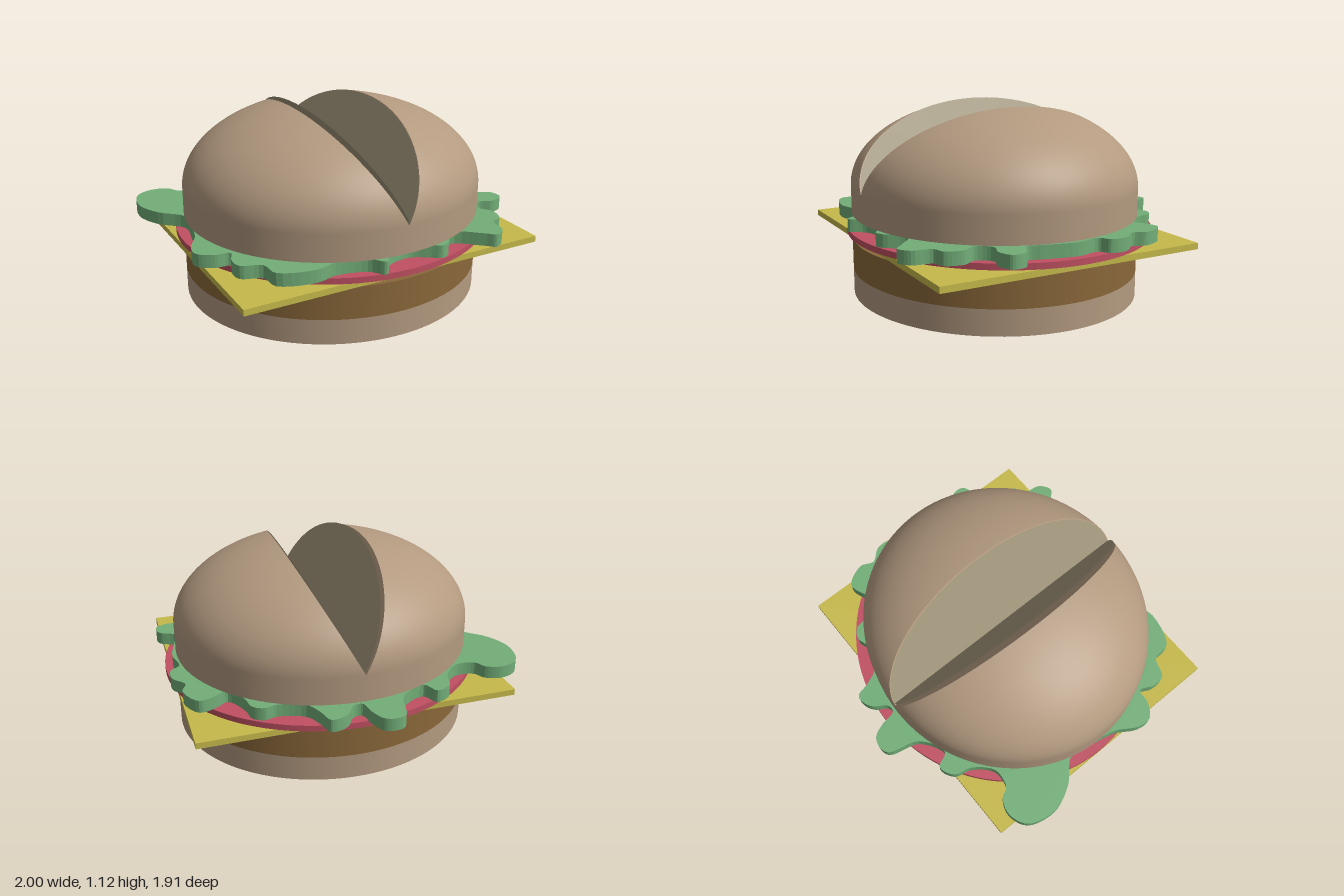
import * as THREE from 'three';

const material = (color, side = THREE.FrontSide) => new THREE.MeshStandardMaterial({ color, side });

const bun = material(0xb39a80);
const bunCut = material(0xb39a80, THREE.DoubleSide);
const crumb = material(0xa0957a, THREE.DoubleSide);
const patty = material(0x8a683a);
const cheese = material(0xc6b94b);
const tomato = material(0xc05062);
const lettuce = material(0x72ae78);

// Bun half-widths and centre, and the height where the dome begins
const RX = 0.887, RZ = 0.832, CX = 0.037, CZ = 0.083;
const DOME_Y = 0.64, DOME_H = 0.49;

// Outline of the leaf, as x, z pairs
const LEAF = [
  -0.18, -0.76, -0.12, -0.94, -0.06, -0.96, 0.0, -0.94, 0.04, -0.86, 0.06, -0.77,
  0.11, -0.77, 0.16, -0.84, 0.21, -0.87, 0.27, -0.87, 0.3, -0.78, 0.35, -0.69,
  0.5, -0.64, 0.57, -0.655, 0.63, -0.62, 0.65, -0.53, 0.72, -0.41, 0.8, -0.455,
  0.89, -0.475, 0.957, -0.35, 0.93, -0.27, 0.99, -0.19, 0.985, -0.09, 0.93, -0.05,
  0.95, 0.09, 0.91, 0.27, 0.89, 0.36, 0.985, 0.42, 0.99, 0.5, 0.91, 0.535,
  0.82, 0.51, 0.76, 0.59, 0.8, 0.665, 0.77, 0.765, 0.705, 0.79, 0.68, 0.9,
  0.61, 0.945, 0.556, 0.9, 0.4, 0.79, 0.31, 0.9, 0.26, 0.92, 0.2, 0.88,
  0.1, 0.83, -0.04, 0.86, -0.11, 0.945, -0.18, 0.87, -0.35, 0.83, -0.475, 0.855,
  -0.67, 0.79, -0.69, 0.68, -0.8, 0.63, -0.81, 0.55, -0.78, 0.465, -0.865, 0.45,
  -0.945, 0.39, -0.94, 0.305, -0.87, 0.18, -0.84, 0.04, -0.82, -0.12, -0.94, -0.25,
  -1.0, -0.4, -0.96, -0.57, -0.85, -0.62, -0.755, -0.59, -0.715, -0.53, -0.6, -0.52,
  -0.5, -0.62, -0.47, -0.72, -0.38, -0.76, -0.33, -0.68,
];

function add(parent, name, geometry, mat) {
  const mesh = new THREE.Mesh(geometry, mat);
  mesh.name = name;
  parent.add(mesh);
  return mesh;
}

// Oval disc between two heights
function disc(parent, name, mat, y0, y1, rx = RX, rz = RZ, cx = CX, cz = CZ) {
  const geometry = new THREE.CylinderGeometry(1, 1, y1 - y0, 96);
  const mesh = add(parent, name, geometry, mat);
  mesh.scale.set(rx, 1, rz);
  mesh.position.set(cx, (y0 + y1) / 2, cz);
}

// Flat half disc fanning out from the dome's z axis; angle is measured from +x
function cutFace(parent, name, mat, degrees, radius = 1) {
  const geometry = new THREE.CircleGeometry(radius, 64, -Math.PI / 2, Math.PI);
  geometry.rotateX(Math.PI / 2);
  geometry.rotateZ(THREE.MathUtils.degToRad(degrees));
  return add(parent, name, geometry, mat);
}

// Wedge of the dome, with its poles at the front and back
function domeWedge(parent, name, fromDegrees, toDegrees) {
  const from = THREE.MathUtils.degToRad(fromDegrees);
  const to = THREE.MathUtils.degToRad(toDegrees);
  const geometry = new THREE.SphereGeometry(1, 40, 64, from, to - from);
  geometry.rotateX(-Math.PI / 2);
  add(parent, name, geometry, bun);
}

export function createModel() {
  const model = new THREE.Group();
  model.name = 'burger';

  disc(model, 'bottomBun', bun, 0, 0.147);
  disc(model, 'patty', patty, 0.147, 0.335);

  // Square cheese slice
  const slice = add(model, 'cheese', new THREE.BoxGeometry(1.845, 0.036, 1.588), cheese);
  slice.position.set(0.033, 0.353, 0.083);

  disc(model, 'tomato', tomato, 0.371, 0.406, 0.943, 0.888, 0.052, 0.06);

  // Frilly lettuce leaf
  const points = [];
  for (let i = 0; i < LEAF.length; i += 2) points.push(new THREE.Vector3(LEAF[i], LEAF[i + 1], 0));
  const curve = new THREE.CatmullRomCurve3(points, true, 'centripetal');
  const outline = curve.getPoints(points.length * 5).slice(0, -1);
  const shape = new THREE.Shape(outline.map((p) => new THREE.Vector2(p.x, p.y)));
  const leaf = new THREE.ExtrudeGeometry(shape, { depth: 0.075, bevelEnabled: false });
  leaf.rotateX(Math.PI / 2);
  add(model, 'lettuce', leaf, lettuce).position.y = 0.481;

  // Top bun: straight wall, then a dome with a wedge cut out
  disc(model, 'topBunWall', bun, 0.481, DOME_Y);
  const dome = new THREE.Group();
  dome.name = 'topBunDome';
  dome.position.set(CX, DOME_Y, CZ);
  dome.scale.set(RX, DOME_H, RZ);
  model.add(dome);

  domeWedge(dome, 'rightDome', 0, 72.8);
  domeWedge(dome, 'leftDome', 106.6, 180);
  cutFace(dome, 'rightCut', bunCut, 107.2);
  cutFace(dome, 'leftCut', bunCut, 73.4);

  // Pale crumb sheets lining the cut, the right one standing slightly off it
  cutFace(dome, 'rightCrumb', crumb, 105.5, 0.997).position.set(0.008, 0.02, 0);
  cutFace(dome, 'leftCrumb', crumb, 73.8, 0.995);

  return model;
}
